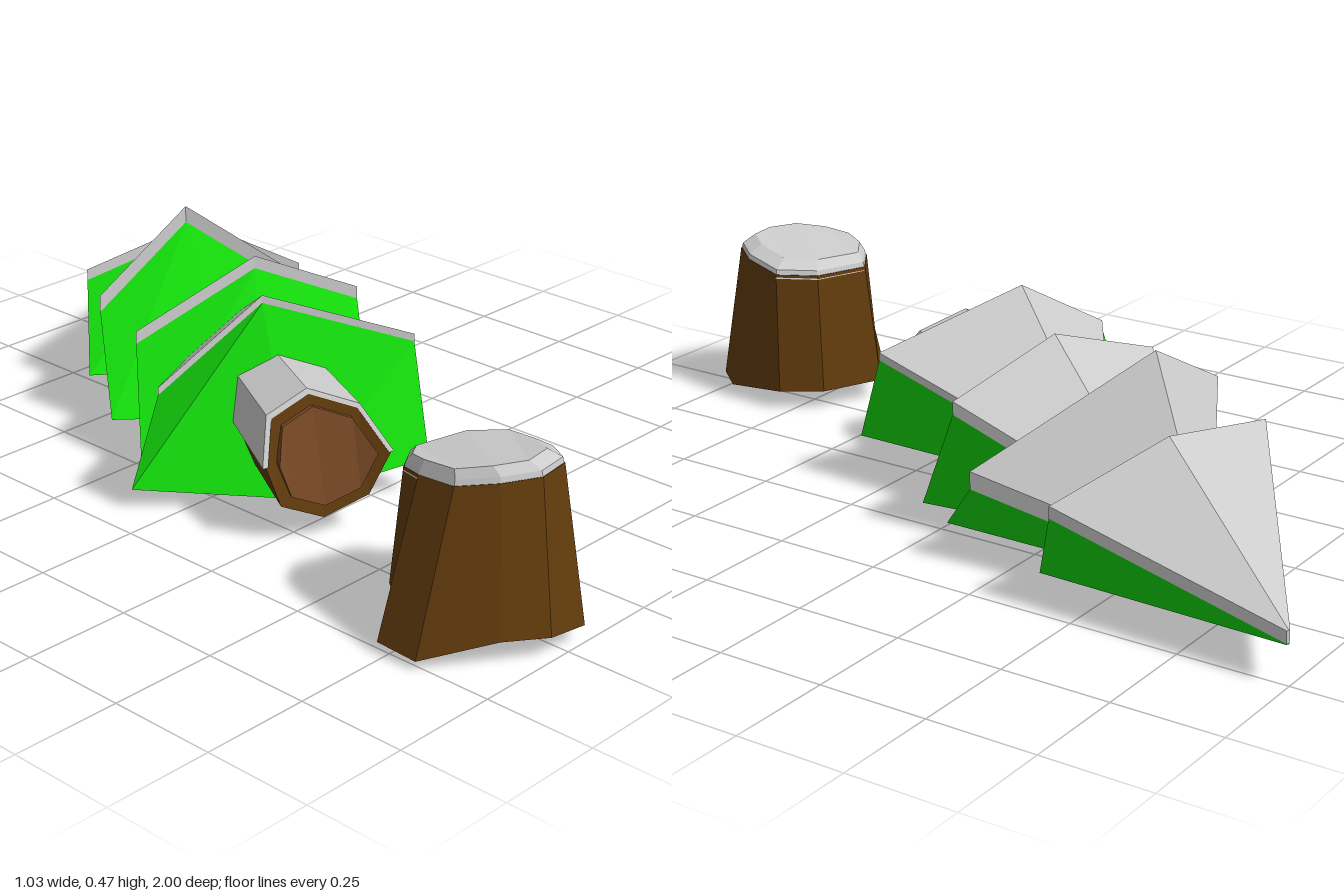
import * as THREE from 'three';

const paint = (color) => new THREE.MeshStandardMaterial({ color, flatShading: true, side: THREE.DoubleSide });
const V = (p) => new THREE.Vector3(...p);
const drop = (ring, d) => ring.map(([x, y, z]) => [x, y - d, z]);

// Joins rings of equal point count, closes both ends and turns all faces outward
function loft(rings) {
  const n = rings[0].length, last = rings.length - 1;
  const tris = [];
  for (let r = 0; r < last; r++) {
    for (let i = 0; i < n; i++) {
      const j = (i + 1) % n, a = rings[r], b = rings[r + 1];
      tris.push([a[i], a[j], b[j]], [a[i], b[j], b[i]]);
    }
  }
  for (let i = 0; i < n / 2 - 1; i++) {
    const k = n - 1 - i, a = rings[0], b = rings[last];
    tris.push([a[i], a[k], a[i + 1]], [a[i + 1], a[k], a[k - 1]]);
    tris.push([b[i], b[i + 1], b[k]], [b[i + 1], b[k - 1], b[k]]);
  }
  let volume = 0;
  for (const [a, b, c] of tris) volume += V(a).dot(V(b).cross(V(c)));
  if (volume < 0) tris.forEach((t) => t.reverse());
  const geo = new THREE.BufferGeometry();
  geo.setAttribute('position', new THREE.Float32BufferAttribute(tris.flat(2), 3));
  geo.computeVertexNormals();
  return geo;
}

export function createModel() {
  const model = new THREE.Group();
  const green = paint(0x14e00c), brown = paint(0x633c0d), wood = paint(0x7a4a26), snow = paint(0xcccccc);
  const add = (name, rings, material, parent = model) => {
    const mesh = new THREE.Mesh(loft(rings), material);
    mesh.name = name;
    parent.add(mesh);
  };

  // Branch tiers: rim corners are left, peak, right, lower right, bottom, lower left
  const tiers = [
    { rim: [[-0.4, 0.31, -0.01], [-0.13, 0.46, 0.04], [0.155, 0.34, 0.235], [0.085, 0.095, 0.345], [-0.16, 0.02, 0.17], [-0.42, 0.05, -0.08]],
      tip: [0.09, 0.18, -0.26], k: 0.3, lip: 0.018 },
    { rim: [[-0.25, 0.33, -0.24], [0.07, 0.44, -0.18], [0.3, 0.33, -0.07], [0.18, 0.015, 0.1], [-0.06, 0, -0.03], [-0.14, 0.01, -0.12]],
      tip: [0.2, 0.15, -0.47], k: 0.25, lip: 0.03 },
    { rim: [[-0.16, 0.33, -0.46], [0.13, 0.475, -0.47], [0.395, 0.225, -0.18], [0.31, 0.05, -0.06], [0.08, 0.01, -0.25], [-0.17, 0.03, -0.42]],
      tip: [0.31, 0.14, -0.66], k: 0.2, lip: 0.04 },
    { rim: [[-0.03, 0.31, -0.65], [0.29, 0.362, -0.6], [0.49, 0.24, -0.44], [0.4, 0.04, -0.36], [0.18, 0.03, -0.49], [-0.06, 0.05, -0.62]],
      tip: [0.508, 0.12, -0.997], k: 0.015, lip: 0.027 },
  ];
  // The second tier shares the wide lower left corner of its neighbours
  tiers[1].rim[5] = [-0.28, 0.02, -0.2];
  tiers.forEach(({ rim, tip, k, lip }, t) => {
    const tier = new THREE.Group();
    tier.name = 'branchTier' + (t + 1);
    model.add(tier);
    const mid = [0, 1, 2].map((a) => rim.reduce((s, p) => s + p[a], 0) / rim.length);
    const shrink = (ring) => ring.map((p) => p.map((v, a) => tip[a] + k * (v - mid[a])));
    const upper = rim.slice(0, 3);
    add('branches', [[...drop(upper, lip), ...rim.slice(3)], drop(shrink(rim), lip)], green, tier);
    // The snow is a bent sheet over the two upper faces
    const sheet = (ring) => [...ring, ...drop(ring, lip).reverse()];
    add('snow', [sheet(upper), sheet(shrink(upper))], snow, tier);
  });

  // Fallen trunk: points around its axis, the cut end leaning back at the top
  const trunkPoint = (t, angle, r) => {
    const u = Math.cos(angle) * r, up = Math.sin(angle) * r;
    const lean = up > 0 ? -0.45 * up : 0.1 * up;
    return [-0.225 + 0.46 * t + 0.88 * u, 0.19 + up, 0.33 - 0.85 * t + 0.48 * u + lean];
  };
  const trunkRing = (t, r) => Array.from({ length: 8 }, (_, i) => trunkPoint(t, i * Math.PI / 4, r));
  add('trunk', [trunkRing(0, 0.14), trunkRing(0.45, 0.125)], brown);
  add('trunkCut', [trunkRing(-0.003, 0.11), trunkRing(0.02, 0.11)], wood);
  const arch = (t, r) => [0, 1, 2, 3, 4].map((i) => trunkPoint(t, i * Math.PI / 4, r));
  const snowArch = (t, r) => [...arch(t, r), ...arch(t, r - 0.012).reverse()];
  add('trunkSnow', [snowArch(0, 0.147), snowArch(0.45, 0.132)], snow);

  // Stump with a spreading root on one side
  const foot = [[-0.515, 0.025, 0.73], [-0.515, 0.02, 0.83], [-0.39, 0.055, 0.94], [-0.3, 0.05, 0.995],
    [-0.2, 0.04, 1], [-0.145, 0.035, 0.93], [-0.137, 0.05, 0.77], [-0.2, 0.05, 0.68], [-0.35, 0.05, 0.615], [-0.41, 0.04, 0.7]];
  const crown = [[-0.425, 0.365, 0.75], [-0.425, 0.37, 0.84], [-0.37, 0.38, 0.91], [-0.29, 0.38, 0.95],
    [-0.21, 0.38, 0.94], [-0.165, 0.37, 0.88], [-0.137, 0.355, 0.77], [-0.2, 0.35, 0.69], [-0.34, 0.345, 0.65], [-0.4, 0.355, 0.69]];
  add('stump', [foot, crown], brown);

  // Snow cap on the stump: a rim, then a raised top that sits off to one side
  const inward = (s, rise, shift) => crown.map(([x, y, z]) =>
    [-0.285 + (x + 0.285) * s + shift, y + rise, 0.8 + (z - 0.8) * s]);
  add('stumpSnow', [inward(1.005, -0.01, 0), inward(0.97, 0.012, 0), inward(0.83, 0.032, -0.015)], snow);
  return model;
}
